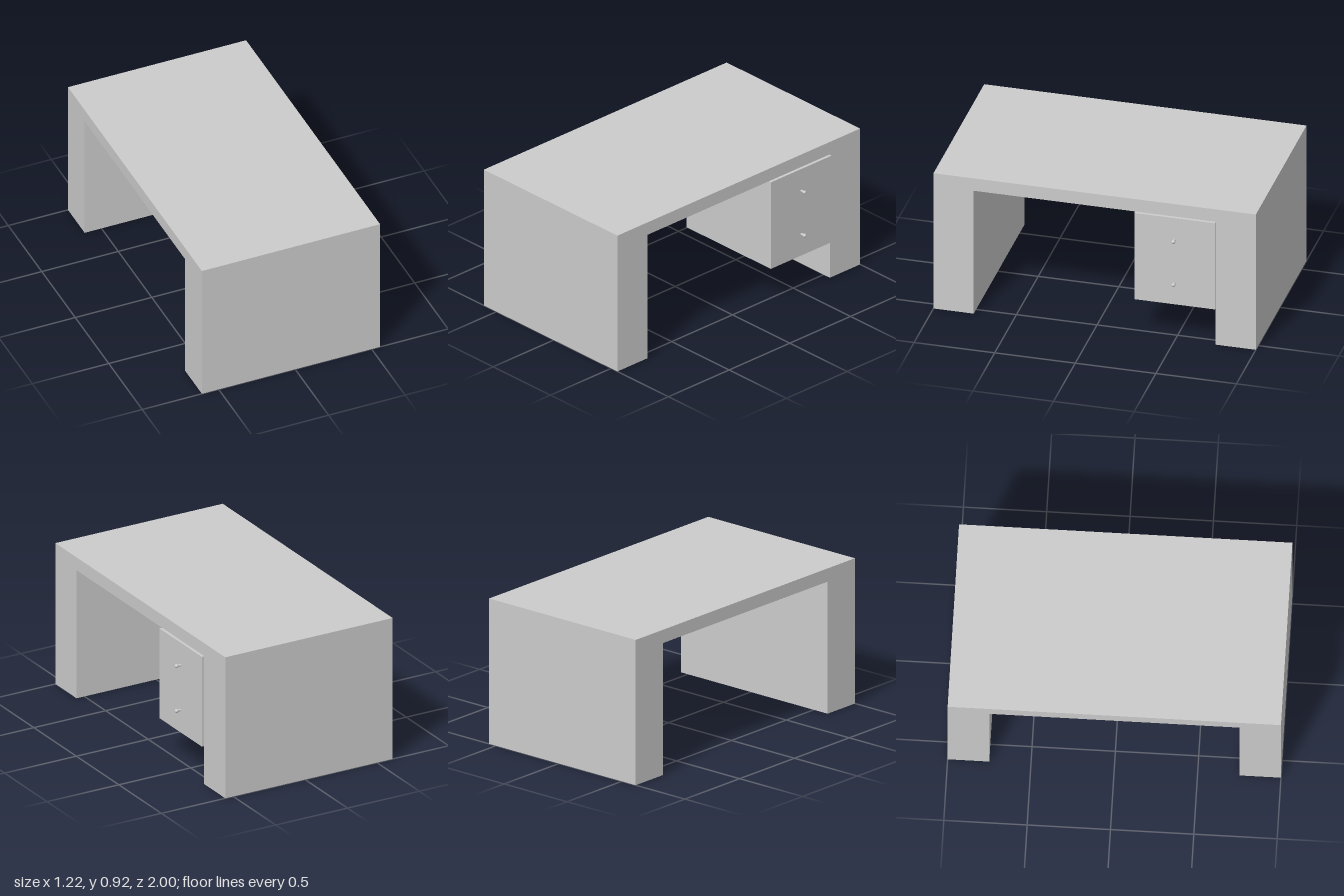
import * as THREE from 'three';

export function createModel() {
  const model = new THREE.Group();
  model.name = 'desk';
  const material = new THREE.MeshStandardMaterial({ color: 0xcccccc });

  function add(parent, name, geometry, x = 0, y = 0, z = 0) {
    const mesh = new THREE.Mesh(geometry, material);
    mesh.name = name;
    mesh.position.set(x, y, z);
    parent.add(mesh);
    return mesh;
  }

  // Desk body: one arch of top and two slab legs, extruded across its depth
  const left = -0.61, right = 0.555, height = 0.92, underside = 0.836, inner = 0.75;
  const arch = new THREE.Shape([
    [-1, 0], [-inner, 0], [-inner, underside], [inner, underside],
    [inner, 0], [1, 0], [1, height], [-1, height],
  ].map(([x, y]) => new THREE.Vector2(x, y)));
  const body = new THREE.ExtrudeGeometry(arch, { depth: right - left, bevelEnabled: false });
  body.rotateY(Math.PI / 2);
  add(model, 'deskBody', body, left);

  // Two stacked drawers against the rear leg, each with a round knob
  const front = 0.57, depth = 0.735, drawerHeight = 0.293, bottom = 0.247;
  ['lowerDrawer', 'upperDrawer'].forEach((name, i) => {
    const drawer = new THREE.Group();
    drawer.name = name;
    drawer.position.set(front, bottom + drawerHeight * (i + 0.5), -0.5);
    add(drawer, 'drawerBox', new THREE.BoxGeometry(depth, drawerHeight, 0.5), -depth / 2);

    const stem = new THREE.CylinderGeometry(0.007, 0.007, 0.03, 16);
    stem.rotateZ(-Math.PI / 2);
    add(drawer, 'knobStem', stem, 0.013);
    add(drawer, 'knobBall', new THREE.SphereGeometry(0.012, 20, 14), 0.028);
    model.add(drawer);
  });

  return model;
}
